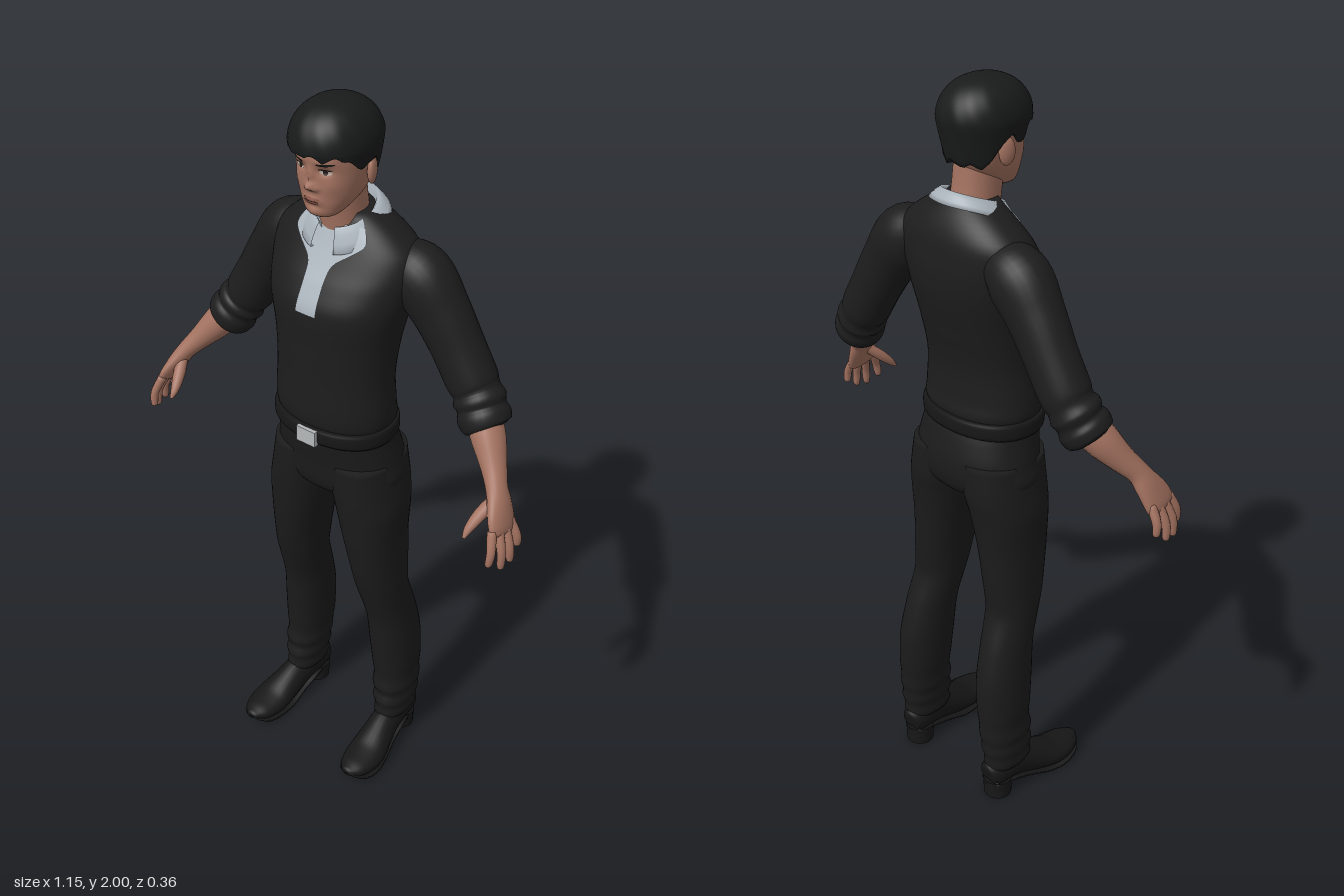
import * as THREE from 'three';

const mat = (name, color, side = THREE.FrontSide) => {
  const m = new THREE.MeshStandardMaterial({ color, side });
  m.name = name;
  return m;
};
const V = (x, y, z) => new THREE.Vector3(x, y, z);
const mix = THREE.MathUtils.lerp, smooth = THREE.MathUtils.smoothstep;
const spow = (v, p) => Math.sign(v) * Math.abs(v) ** p;

// Smooth interpolation of rows [key, ...values] with increasing keys
function at(rows, k) {
  let i = 0;
  while (i < rows.length - 2 && k > rows[i + 1][0]) i++;
  const a = rows[i], b = rows[i + 1], p = rows[i - 1] || a, q = rows[i + 2] || b, h = b[0] - a[0];
  const t = THREE.MathUtils.clamp((k - a[0]) / h, 0, 1), t2 = t * t, t3 = t2 * t;
  return a.map((_, c) => {
    const ma = h * (b[c] - p[c]) / (b[0] - p[0]), mb = h * (q[c] - a[c]) / (q[0] - a[0]);
    return (2 * t3 - 3 * t2 + 1) * a[c] + (t3 - 2 * t2 + t) * ma + (3 * t2 - 2 * t3) * b[c] + (t3 - t2) * mb;
  });
}

// Surface grid: rows x columns of points, optionally closed around
function grid(nu, nv, fn, closed = true) {
  const pos = [], idx = [], w = closed ? nv : nv + 1;
  for (let i = 0; i <= nu; i++) for (let j = 0; j < w; j++) pos.push(...fn(i / nu, j / nv, i, j).toArray());
  for (let i = 0; i < nu; i++) for (let j = 0; j < nv; j++) {
    const k = closed ? (j + 1) % nv : j + 1, a = i * w + j, b = i * w + k, c = b + w, d = a + w;
    idx.push(a, b, c, a, c, d);
  }
  const g = new THREE.BufferGeometry();
  g.setAttribute('position', new THREE.Float32BufferAttribute(pos, 3));
  g.setIndex(idx);
  g.computeVertexNormals();
  return g;
}

// Upright loft from rows [y, centreX, halfWidth, zFront, zBack], closed at both ends
function loft(rows, nu = 30, nv = 40, n = 2.2, bump = null) {
  const y0 = rows[0][0], y1 = rows[rows.length - 1][0];
  return grid(nu + 2, nv, (u, v, i) => {
    const t = THREE.MathUtils.clamp((i - 1) / nu, 0, 1), cap = i === 0 || i === nu + 2 ? 0 : 1;
    const [y, cx, rx, zf, zb] = at(rows, mix(y0, y1, t)), th = v * Math.PI * 2;
    const x = cx + cap * rx * spow(Math.sin(th), 2 / n);
    let z = (zf + zb) / 2 + cap * (zf - zb) / 2 * spow(Math.cos(th), 2 / n);
    if (bump && cap && Math.cos(th) > 0.05) z += bump(x, y);
    return V(x, y, z);
  });
}
// Front z of such a loft at x, y
function frontZ(rows, x, y, n = 2.2) {
  const [, cx, rx, zf, zb] = at(rows, y);
  const q = Math.min(1, Math.abs((x - cx) / rx));
  return (zf + zb) / 2 + (zf - zb) / 2 * (1 - q ** n) ** (1 / n);
}

// Limb along a path, rows [x, y, z, radiusAcross, radiusToRef]
function limb(rows, ref = V(0, 0, 1), nu = 24, nv = 20) {
  const keyed = rows.map((r, i) => [i, ...r]), last = rows.length - 1;
  return grid(nu + 2, nv, (u, v, i) => {
    const k = THREE.MathUtils.clamp((i - 1) / nu, 0, 1) * last, cap = i === 0 || i === nu + 2 ? 0 : 1;
    const [, x, y, z, ra, rb] = at(keyed, k);
    const a = at(keyed, Math.max(0, k - 0.1)), b = at(keyed, Math.min(last, k + 0.1));
    const T = V(b[1] - a[1], b[2] - a[2], b[3] - a[3]).normalize();
    const Z = ref.clone().addScaledVector(T, -ref.dot(T)).normalize(), X = T.clone().cross(Z), th = v * Math.PI * 2;
    return V(x, y, z).addScaledVector(X, cap * ra * Math.sin(th)).addScaledVector(Z, cap * rb * Math.cos(th));
  });
}

function mirrored(g) {
  const m = g.clone().scale(-1, 1, 1), ix = m.index.array;
  for (let i = 0; i < ix.length; i += 3) [ix[i], ix[i + 1]] = [ix[i + 1], ix[i]];
  m.computeVertexNormals();
  return m;
}

export function createModel() {
  const root = new THREE.Group();
  root.name = 'standingMan';
  const skin = mat('skin', 0xa37260), hairM = mat('hair', 0x191a1a, THREE.DoubleSide);
  const knit = mat('sweater', 0x1d1d1e), cloth = mat('trousers', 0x1b1b1c), leather = mat('leather', 0x171718);
  const shirt = mat('shirt', 0xa9b2ba, THREE.DoubleSide), metal = mat('buckle', 0xb4b8ba);
  const white = mat('eyeWhite', 0xb9aaa2), dark = mat('iris', 0x231a17), lip = mat('lips', 0x8a5549);
  const add = (name, g, m) => {
    const mesh = new THREE.Mesh(g, m);
    mesh.name = name;
    root.add(mesh);
  };
  const pair = (name, g, m) => { add(name + 'Left', g, m); add(name + 'Right', mirrored(g), m); };

  // Sweater body
  const torso = [[1.15, 0, .155, .1, -.12], [1.175, 0, .163, .11, -.13], [1.21, 0, .163, .113, -.125],
    [1.3, 0, .157, .112, -.125], [1.4, 0, .164, .113, -.145], [1.5, 0, .184, .112, -.167], [1.56, 0, .195, .085, -.171],
    [1.6, 0, .2, .06, -.168], [1.64, 0, .19, .037, -.163], [1.67, 0, .16, .022, -.153], [1.7, 0, .118, .008, -.136], [1.725, 0, .075, 0, -.115]];
  add('sweaterBody', loft(torso, 50, 56), knit);

  // Sleeves with rolled, wrinkled cuffs
  pair('sleeve', limb([[.13, 1.605, -.08, .06, .06], [.19, 1.575, -.083, .082, .076], [.25, 1.5, -.087, .074, .068],
    [.3, 1.42, -.09, .068, .064], [.345, 1.345, -.09, .066, .064], [.362, 1.32, -.088, .06, .06], [.374, 1.302, -.084, .067, .066],
    [.384, 1.285, -.08, .061, .061], [.395, 1.268, -.075, .067, .067], [.408, 1.248, -.07, .063, .063], [.414, 1.24, -.068, .048, .05]],
  V(0, 0, 1), 60, 28), knit);

  // Forearms and hands
  pair('forearm', limb([[.385, 1.285, -.075, .04, .045], [.425, 1.235, -.05, .043, .045], [.465, 1.185, -.018, .032, .035],
    [.493, 1.15, .008, .025, .03], [.512, 1.12, .022, .023, .038], [.53, 1.085, .038, .019, .047], [.54, 1.062, .046, .015, .046], [.543, 1.052, .049, .008, .035]]), skin);
  const fingers = [[.532, 1.075, .08, .546, 1.03, .1, .545, .988, .108], [.538, 1.07, .058, .558, 1.02, .072, .562, .968, .076],
    [.54, 1.07, .034, .562, 1.02, .042, .567, .972, .042], [.538, 1.075, .012, .56, 1.035, .009, .564, .998, .006]];
  fingers.forEach(([a, b, c, d, e, f, g, h, k], i) =>
    pair('finger' + (i + 1), limb([[a, b, c, .012, .013], [d, e, f, .011, .012], [mix(d, g, .8), mix(e, h, .8), mix(f, k, .8), .009, .01], [g, h, k, .003, .003]], V(0, 0, 1), 12, 10), skin));
  pair('thumb', limb([[.505, 1.13, .02, .014, .016], [.487, 1.095, .06, .015, .017], [.476, 1.065, .092, .011, .012], [.474, 1.045, .112, .004, .004]], V(1, 0, 0), 14, 10), skin);

  // Shirt front panel following the chest
  const panel = [[1.495, .03], [1.59, .03], [1.615, .04], [1.645, .08], [1.665, .1], [1.7, .085]];
  add('shirtFront', grid(30, 16, (u, v) => {
    const y = mix(1.495, 1.7, u), x = (2 * v - 1) * at(panel, y)[1];
    return V(x, y, frontZ(torso, x, y) + .005);
  }, false), shirt);

  // Folded collar, open at the front
  add('shirtCollar', grid(6, 56, (u, v) => {
    const th = mix(.3, Math.PI * 2 - .3, v), c = Math.cos(th), s = Math.sin(th), f = (1 + c) / 2;
    const top = mix(1.752, 1.698, f), low = mix(1.722, 1.632, f ** 1.3);
    const [, rx, rz, y] = at([[0, .066, .068, top - .025], [1, .072, .075, top], [2, .095, .088, mix(top, low, .45)], [3, .112, .099, low], [3.5, .1, .09, low + .002]], u * 3.5);
    return V(rx * s, y, -.043 + rz * c);
  }, false), shirt);

  // Neck
  add('neck', loft([[1.64, 0, .06, .018, -.1], [1.7, 0, .057, .024, -.098], [1.76, 0, .055, .035, -.09], [1.81, 0, .055, .05, -.085]]), skin);

  // Head, sculpted by soft bumps: [x, y, spreadX, spreadY, depth]
  const bumps = [[0, 1.845, .008, .02, .011], [0, 1.819, .011, .01, .019], [.013, 1.813, .007, .007, .007], [.034, 1.858, .016, .01, -.008],
    [.03, 1.882, .025, .008, .004], [0, 1.783, .02, .009, .006], [0, 1.766, .02, .006, -.004], [0, 1.748, .018, .01, .004], [.05, 1.82, .02, .02, .003]];
  const bump = (x, y) => bumps.reduce((sum, [bx, by, sx, sy, d]) =>
    sum + d * Math.exp(-(((Math.abs(x) - bx) / sx) ** 2) - ((y - by) / sy) ** 2), 0);
  const head = [[1.732, 0, .02, .064, .02], [1.742, 0, .04, .076, 0], [1.765, 0, .058, .083, -.045], [1.79, 0, .071, .085, -.075],
    [1.82, 0, .079, .087, -.095], [1.85, 0, .084, .088, -.105], [1.88, 0, .086, .092, -.11], [1.92, 0, .086, .09, -.11], [1.96, 0, .068, .06, -.09], [1.985, 0, .03, .02, -.05]];
  add('head', loft(head, 80, 100, 2.3, bump), skin);
  pair('ear', new THREE.SphereGeometry(1, 16, 12).scale(.011, .034, .021).rotateY(.35).translate(.089, 1.842, -.022), skin);

  // Thin lens-shaped details lying on the face
  const lens = (cx, cy, w, h, off, tilt = 0) => grid(6, 14, (u, v) => {
    const a = 2 * v - 1, x = cx + a * w, y = cy + a * tilt + (2 * u - 1) * h * Math.sqrt(1 - a * a);
    return V(x, y, frontZ(head, x, y, 2.3) + bump(x, y) + off);
  }, false);
  pair('eyeWhite', lens(.036, 1.857, .015, .006, .002), white);
  pair('iris', lens(.035, 1.857, .006, .006, .0035), dark);
  pair('upperLid', lens(.036, 1.863, .017, .0022, .003), dark);
  pair('eyebrow', lens(.038, 1.878, .021, .0035, .002, .002), hairM);
  add('upperLip', lens(0, 1.787, .023, .004, .002), lip);
  add('lowerLip', lens(0, 1.779, .02, .0045, .003), lip);
  add('mouthLine', lens(0, 1.7835, .022, .001, .004), dark);

  // Hair cap with ragged fringe, cut above the ears and longer at the nape
  add('hair', grid(28, 96, (u, v, i) => {
    const th = v * Math.PI * 2, a = Math.min(th, Math.PI * 2 - th);
    const jag = .008 * Math.abs(Math.sin(a * 6.5 + .6)) + .004 * Math.sin(th * 11);
    const bottom = 1.89 + jag - .035 * smooth(a, .95, 1.3) + .012 * smooth(a, 1.4, 1.6) - .062 * smooth(a, 1.75, 2.2);
    const s = Math.max(0, (i - 1) / 27);
    let y, r;
    if (s < .35) {
      y = mix(bottom, 1.905, s / .35);
      r = 1 - Math.max(0, 1.905 - y) * 1.7;
    } else {
      const p = (s - .35) / .65 * Math.PI / 2;
      y = 1.905 + .095 * Math.sin(p);
      r = Math.max(0, Math.cos(p)) ** .85;
    }
    r *= 1 + .012 * Math.sin(th * 13 + y * 60) * (1 - s);
    if (i === 0) r *= .84;
    return V(.101 * r * spow(Math.sin(th), .92), y, -.005 + .118 * r * spow(Math.cos(th), .92));
  }), hairM);

  // Belt and buckle
  add('belt', loft([[1.122, 0, .166, .112, -.132], [1.13, 0, .17, .117, -.137], [1.16, 0, .17, .118, -.137], [1.168, 0, .166, .114, -.133]], 10, 56), leather);
  add('beltBuckle', new THREE.BoxGeometry(.058, .044, .014).translate(.004, 1.143, .119), metal);

  // Trousers: hips, then legs with creased hems
  add('trouserHips', loft([[.925, 0, .05, .03, -.08], [.945, 0, .13, .07, -.125], [.98, 0, .182, .088, -.148], [1.04, 0, .177, .094, -.153], [1.1, 0, .166, .102, -.14], [1.14, 0, .16, .106, -.126]], 24, 48), cloth);
  pair('trouserLeg', loft([[.1, .163, .044, -.012, -.152], [.115, .164, .05, -.006, -.158], [.14, .164, .048, -.012, -.156], [.165, .163, .055, -.004, -.164],
    [.19, .162, .052, -.016, -.162], [.215, .161, .058, -.006, -.168], [.25, .159, .056, -.014, -.168], [.3, .157, .06, -.01, -.172], [.4, .152, .061, 0, -.17],
    [.5, .146, .06, .01, -.148], [.6, .138, .063, .038, -.117], [.64, .135, .065, .05, -.117], [.7, .13, .067, .063, -.122], [.8, .12, .075, .078, -.127],
    [.9, .109, .088, .086, -.138], [.96, .098, .09, .09, -.148], [1.05, .088, .085, .09, -.146]], 70, 36), cloth);

  // Shoes: pointed uppers on stacked heels
  pair('shoe', limb([[.16, .075, -.155, .026, .03], [.161, .08, -.135, .038, .048], [.163, .084, -.08, .042, .05], [.167, .073, -.03, .042, .05],
    [.172, .055, .02, .048, .046], [.178, .04, .07, .055, .038], [.18, .037, .11, .053, .031], [.18, .039, .15, .04, .023], [.179, .044, .178, .016, .01]],
  V(0, 1, 0), 36, 24), leather);
  pair('shoeSole', grid(24, 8, (u, v, i) => {
    const [z, x, w, y] = at([[-.16, .16, .03, .045], [-.08, .163, .043, .04], [-.02, .168, .044, .02], [.04, .174, .053, .003], [.1, .18, .057, .004], [.15, .18, .045, .014], [.183, .179, .012, .036]], mix(-.16, .183, u));
    const th = v * Math.PI * 2 + Math.PI / 8, cap = i === 0 || i === 24 ? 0 : 1;
    return V(x - cap * w * spow(Math.sin(th), .6), y + .006 + cap * .007 * spow(Math.cos(th), .6), z);
  }), leather);
  pair('shoeHeel', new THREE.CylinderGeometry(1, .95, .055, 24).scale(.041, 1, .041).translate(.161, .0275, -.117), leather);
  return root;
}
